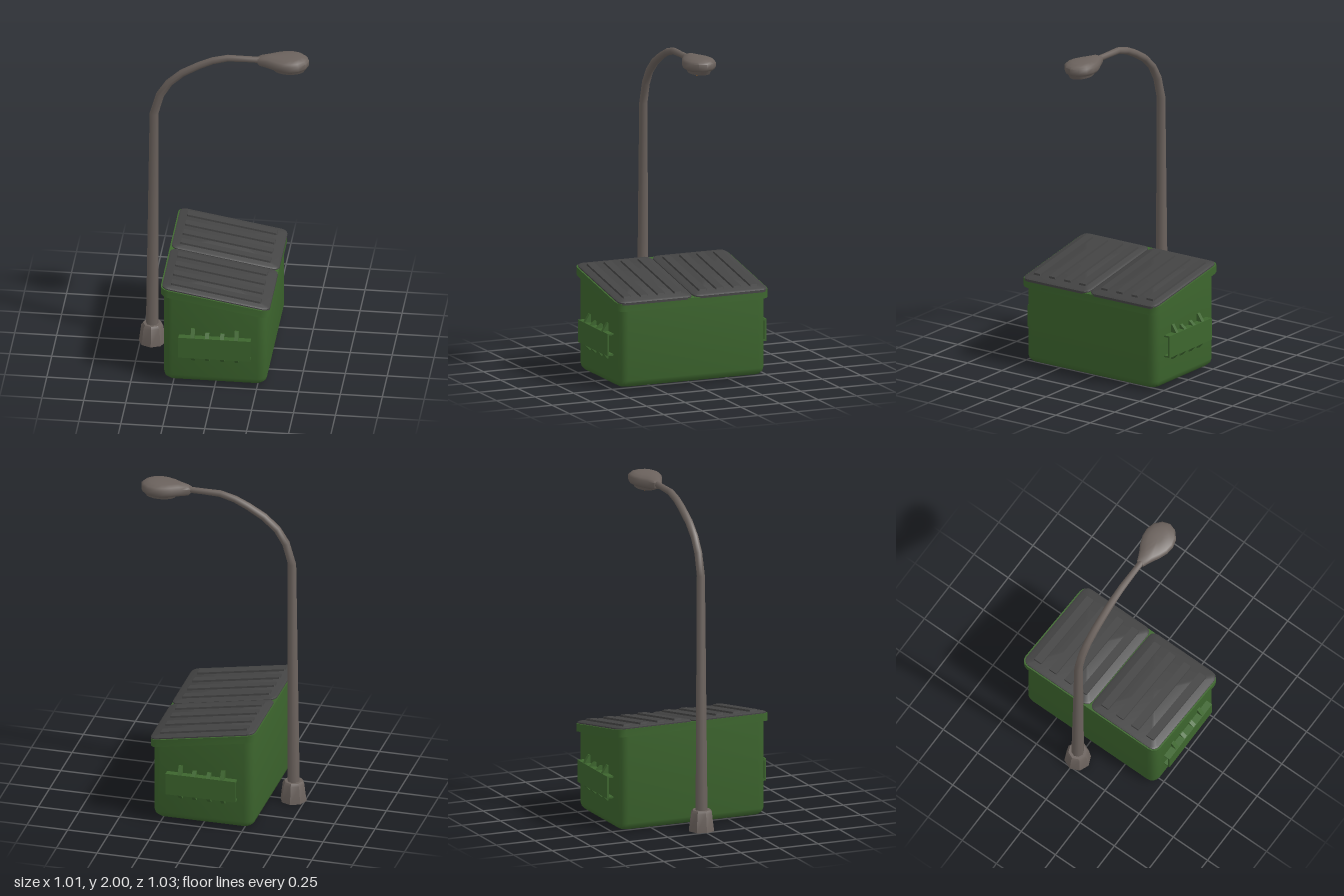
import * as THREE from 'three';
import { toCreasedNormals } from 'three/addons/utils/BufferGeometryUtils.js';

const SLOPE = -0.176; // fall of the bin top from back to front edge

const green = new THREE.MeshStandardMaterial({ color: 0x3d662e });
green.name = 'binGreen';
const charcoal = new THREE.MeshStandardMaterial({ color: 0x444444 });
charcoal.name = 'lidCharcoal';
const metal = new THREE.MeshStandardMaterial({ color: 0x6b625d });
metal.name = 'lampMetal';
const orange = new THREE.MeshStandardMaterial({ color: 0xd98228 });
orange.name = 'lampOrange';

// Closed skin through a list of equal-length rings, capped at both ends
function loft(rings, crease = 0.6) {
  const n = rings[0].length, pos = [], idx = [];
  rings.forEach(r => r.forEach(p => pos.push(p.x, p.y, p.z)));
  for (let k = 0; k < rings.length - 1; k++) {
    for (let i = 0; i < n; i++) {
      const a = k * n + i, b = k * n + (i + 1) % n;
      idx.push(a, a + n, b, b, a + n, b + n);
    }
  }
  [0, rings.length - 1].forEach((k, end) => {
    const c = new THREE.Vector3();
    rings[k].forEach(p => c.addScaledVector(p, 1 / n));
    const ci = pos.length / 3;
    pos.push(c.x, c.y, c.z);
    for (let i = 0; i < n; i++) {
      const a = k * n + i, b = k * n + (i + 1) % n;
      if (end) idx.push(ci, b, a); else idx.push(ci, a, b);
    }
  });
  const g = new THREE.BufferGeometry();
  g.setAttribute('position', new THREE.Float32BufferAttribute(pos, 3));
  g.setIndex(idx);
  return toCreasedNormals(g, crease);
}

// Rounded rectangle in the ground plane, optionally tilted along the bin top
function rectRing(x0, x1, z0, z1, r, y, slope = 0, seg = 4) {
  const pts = [];
  const corners = [[x1 - r, z1 - r], [x0 + r, z1 - r], [x0 + r, z0 + r], [x1 - r, z0 + r]];
  corners.forEach(([cx, cz], q) => {
    for (let i = 0; i <= seg; i++) {
      const t = (q + i / seg) * Math.PI / 2;
      const x = cx + r * Math.cos(t);
      pts.push(new THREE.Vector3(x, y + slope * x, cz + r * Math.sin(t)));
    }
  });
  return pts;
}

// Round sweep along a path of [x, y, radius] in the z = 0 plane
function sweep(path, sides, crease) {
  return loft(path.map(([x, y, r], i) => {
    const a = path[Math.max(i - 1, 0)], b = path[Math.min(i + 1, path.length - 1)];
    const t = new THREE.Vector2(b[0] - a[0], b[1] - a[1]).normalize();
    return Array.from({ length: sides }, (_, k) => {
      const u = k / sides * Math.PI * 2, c = r * Math.cos(u);
      return new THREE.Vector3(x + c * t.y, y - c * t.x, r * Math.sin(u));
    });
  }), crease);
}

function add(parent, name, geometry, material) {
  const m = new THREE.Mesh(geometry, material);
  m.name = name;
  parent.add(m);
  return m;
}

function box(parent, name, material, w, h, d, x, y, z) {
  const m = add(parent, name, new THREE.BoxGeometry(w, h, d), material);
  m.position.set(x, y, z);
  return m;
}

function buildBin() {
  const bin = new THREE.Group();
  bin.name = 'bin';

  // Tub with rounded bottom edge and sloping top
  const tub = [[0.05, 0.01], [0.022, 0.016], [0.006, 0.032], [0, 0.055]].map(([i, y]) =>
    rectRing(-0.31 + i, 0.305 - i, -0.475 + i, 0.475 - i, 0.055 - i * 0.5, y));
  tub.push(rectRing(-0.31, 0.305, -0.475, 0.475, 0.055, 0.55, SLOPE));
  add(bin, 'tub', loft(tub), green);

  // Overhanging rim
  add(bin, 'rim', loft([0.535, 0.582].map(y =>
    rectRing(-0.327, 0.322, -0.493, 0.493, 0.05, y, SLOPE, 3))), green);

  // Two lids with raised ribs
  for (const s of [-1, 1]) {
    const lid = new THREE.Group();
    lid.name = s > 0 ? 'frontLid' : 'rearLid';
    bin.add(lid);
    const ring = (i, y) => {
      const a = s * (0.003 + i), b = s * (0.483 - i);
      return rectRing(-0.318 + i, 0.323 - i, Math.min(a, b), Math.max(a, b), 0.04 - i, y, SLOPE, 3);
    };
    add(lid, 'lidPanel', loft([ring(0, 0.575), ring(0, 0.589), ring(0.012, 0.596)]), charcoal);
    for (let k = 0; k < 4; k++) {
      const z = s * (0.08 + k * 0.11);
      const rib = (i, y) => rectRing(-0.27 + i, 0.27 - i, z - 0.028 + i, z + 0.028 - i, 0.004, y, SLOPE, 1);
      add(lid, 'lidRib', loft([rib(0, 0.59), rib(0.003, 0.607)]), charcoal);
    }
  }

  // Lifting sleeves on both ends, open sideways, braced by gussets
  for (const s of [-1, 1]) {
    const sleeve = new THREE.Group();
    sleeve.name = s > 0 ? 'frontSleeve' : 'rearSleeve';
    bin.add(sleeve);
    box(sleeve, 'sleevePlate', green, 0.43, 0.135, 0.012, 0, 0.263, s * 0.51);
    for (const y of [0.325, 0.2]) box(sleeve, 'sleeveFlange', green, 0.43, 0.01, 0.04, 0, y, s * 0.492);
    for (const x of [-0.13, -0.045, 0.045, 0.13]) {
      const top = Math.abs(x) > 0.1 ? 0.378 : 0.355;
      for (const [y0, y1] of [[0.328, top], [0.198, 0.163]]) {
        const shape = new THREE.Shape([
          new THREE.Vector2(0.47, y0), new THREE.Vector2(0.515, y0),
          new THREE.Vector2(0.482, y1), new THREE.Vector2(0.47, y1)]);
        const g = new THREE.ExtrudeGeometry(shape, { depth: 0.024, bevelEnabled: false });
        g.translate(0, 0, -0.012);
        const m = add(sleeve, 'gusset', g, green);
        m.rotation.y = -s * Math.PI / 2;
        m.position.x = x;
      }
    }
  }

  // Small striped patch under the tub
  for (let k = 0; k < 5; k++) {
    const d = 0.04 + k * 0.035;
    const strip = box(bin, 'undersideStrip', orange, 0.13 - (k % 2) * 0.04, 0.004, 0.026, -d, 0.009, d);
    strip.rotation.y = -Math.PI / 4;
  }
  return bin;
}

function buildLamp() {
  const lamp = new THREE.Group();
  lamp.name = 'streetLamp';

  // Eight-sided foot
  add(lamp, 'foot', sweep([[-0.43, 0, 0.08], [-0.43, 0.11, 0.066], [-0.43, 0.126, 0.055]], 8, 0.5), metal);

  // Tapered post bending into the arm
  add(lamp, 'post', sweep([
    [-0.43, 0.1, 0.038], [-0.42, 1.555, 0.026], [-0.383, 1.685, 0.025], [-0.33, 1.77, 0.024],
    [-0.25, 1.842, 0.024], [-0.15, 1.9, 0.023], [-0.07, 1.937, 0.022], [0.02, 1.961, 0.021],
    [0.13, 1.962, 0.019], [0.25, 1.962, 0.02]], 8, 1.0), metal);

  // Teardrop head built from scaled outlines
  const half = [[0.505, 0], [0.49, 0.046], [0.45, 0.082], [0.4, 0.095], [0.35, 0.09], [0.3, 0.071], [0.25, 0.044], [0.2, 0.022]];
  const outline = half.concat(half.slice(1).reverse().map(([x, z]) => [x, -z]));
  const headRing = (s, y) => outline.map(([x, z]) =>
    new THREE.Vector3(0.385 + (x - 0.385) * s, y, z * s));
  add(lamp, 'head', loft([
    headRing(0.78, 1.924), headRing(0.95, 1.934), headRing(1, 1.947), headRing(1, 1.974),
    headRing(0.88, 1.987), headRing(0.6, 1.997), headRing(0.25, 2)], 0.9), metal);

  // Lamp collar and glowing lens facing down
  const collar = add(lamp, 'lensCollar', new THREE.CylinderGeometry(1.2, 1, 0.028, 20), metal);
  collar.scale.set(0.092, 1, 0.06);
  collar.position.set(0.385, 1.919, 0);
  const lens = add(lamp, 'lens', new THREE.CylinderGeometry(1, 1, 0.006, 20), orange);
  lens.scale.set(0.078, 1, 0.05);
  lens.position.set(0.385, 1.904, 0);
  return lamp;
}

export function createModel() {
  const model = new THREE.Group();
  model.name = 'binAndStreetLamp';
  model.add(buildBin(), buildLamp());
  return model;
}
